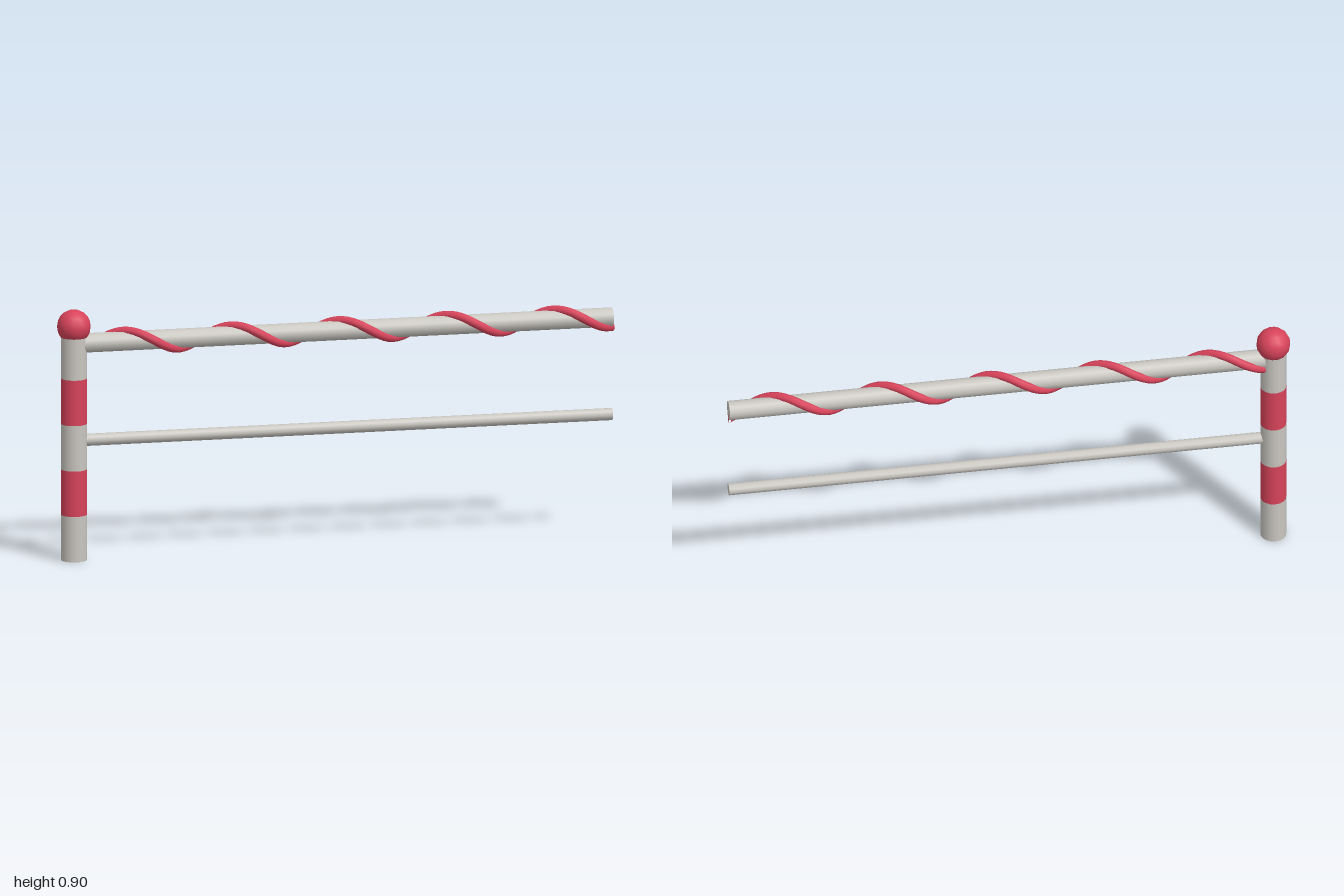
import * as THREE from 'three';

export function createModel() {
  const group = new THREE.Group();
  const red = new THREE.MeshStandardMaterial({ color: 0xd8435a });
  red.name = 'red paint';
  const grey = new THREE.MeshStandardMaterial({ color: 0xc9c6c0 });
  grey.name = 'pale grey paint';

  const POST_X = -0.943, END_X = 0.99, RAIL_Y = 0.776;

  function add(name, geometry, material, x = 0, y = 0) {
    const mesh = new THREE.Mesh(geometry, material);
    mesh.name = name;
    mesh.position.set(x, y, 0);
    group.add(mesh);
    return mesh;
  }

  // Upright post in five alternating bands
  const band = 0.163;
  for (let i = 0; i < 5; i++) {
    const geo = new THREE.CylinderGeometry(0.046, 0.046, band, 16, 1, i > 0 && i < 4);
    add('postBand' + (i + 1), geo, i % 2 ? red : grey, POST_X, band * (i + 0.5));
  }

  // Ball finial
  add('postBall', new THREE.SphereGeometry(0.06, 14, 10), red, POST_X, 0.837);

  // Horizontal rails running from the post axis
  function rail(name, radius, y, sides) {
    const geo = new THREE.CylinderGeometry(radius, radius, END_X - POST_X, sides);
    geo.rotateZ(-Math.PI / 2);
    add(name, geo, grey, (POST_X + END_X) / 2, y);
  }
  rail('topRail', 0.034, RAIL_Y, 14);
  rail('lowerRail', 0.0215, 0.428, 10);

  // Ribbon spiralling five turns round the top rail, starting underneath
  class Helix extends THREE.Curve {
    getPoint(t, target = new THREE.Vector3()) {
      const a = Math.PI + t * 10 * Math.PI;
      return target.set(
        POST_X + t * (END_X - POST_X),
        RAIL_Y + 0.035 * Math.cos(a),
        0.035 * Math.sin(a)
      );
    }
  }
  add('spiralStripe', new THREE.TubeGeometry(new Helix(), 120, 0.0155, 8), red);

  // Caps closing the ends of the spiral
  for (const side of [-1, 1]) {
    const cap = add('spiralCap', new THREE.CircleGeometry(0.0155, 8), red,
      side < 0 ? POST_X : END_X, RAIL_Y - 0.035);
    cap.rotation.y = side * Math.PI / 2;
  }
  return group;
}
